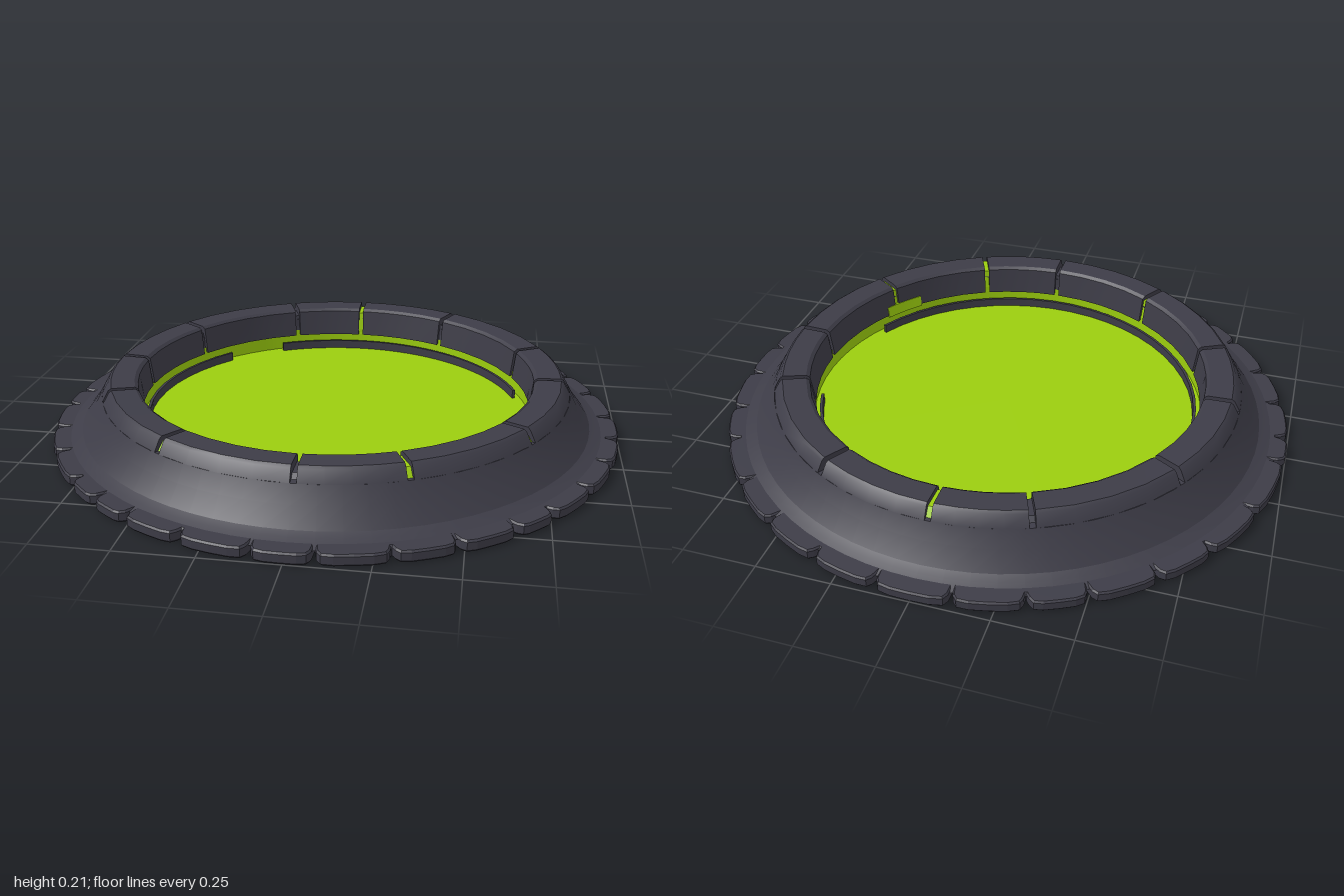
import * as THREE from 'three';
import { toCreasedNormals } from 'three/addons/utils/BufferGeometryUtils.js';

const RAD = Math.PI / 180;

// Sweeps a counter-clockwise (radius, height) profile around y between two angles in degrees
function sweep(profile, from, to, steps) {
  const pos = [];
  const n = profile.length;
  const closed = to - from >= 360;
  const point = (i, j) => {
    const a = (from + (to - from) * i / steps) * RAD;
    const [r, y] = profile[j % n];
    return [r * Math.cos(a), y, r * Math.sin(a)];
  };
  for (let i = 0; i < steps; i++) {
    for (let j = 0; j < n; j++) {
      const a = point(i, j), b = point(i, j + 1), c = point(i + 1, j), d = point(i + 1, j + 1);
      pos.push(...a, ...b, ...c, ...b, ...d, ...c);
    }
  }
  if (!closed) {
    for (let j = 1; j < n - 1; j++) {
      pos.push(...point(0, 0), ...point(0, j + 1), ...point(0, j));
      pos.push(...point(steps, 0), ...point(steps, j), ...point(steps, j + 1));
    }
  }
  const geo = new THREE.BufferGeometry();
  geo.setAttribute('position', new THREE.Float32BufferAttribute(pos, 3));
  return toCreasedNormals(geo, 0.45);
}

export function createModel() {
  const group = new THREE.Group();
  const stone = new THREE.MeshStandardMaterial({ color: 0x3d3c47 });
  stone.name = 'dark stone';
  const slime = new THREE.MeshStandardMaterial({ color: 0x9bcd0e, side: THREE.DoubleSide });
  slime.name = 'lime green';
  const add = (name, geo, mat) => {
    const mesh = new THREE.Mesh(geo, mat);
    mesh.name = name;
    group.add(mesh);
    return mesh;
  };

  // Flat base plate with notches cut into its edge
  const notches = [-97, -83, -70, -57, -44, -30, -19, -6, 5, 16, 28, 40, 49, 60.5, 72, 85, 96,
    109, 121, 130, 139, 152, 164, 176, 184, 200, 214, 226, 239, 250];
  const outline = [];
  const put = (r, deg) => outline.push(new THREE.Vector2(r * Math.cos(deg * RAD), -r * Math.sin(deg * RAD)));
  notches.forEach((a, i) => {
    const next = i + 1 < notches.length ? notches[i + 1] : notches[0] + 360;
    const depth = 0.925 + 0.015 * (i % 3);
    put(depth, a - 0.3);
    put(depth, a + 0.3);
    put(0.975, a + 0.7);
    put(0.99, a + 1.3);
    for (let k = 1; k < 4; k++) put(0.995, a + (next - a) * k / 4);
    put(0.99, next - 1.3);
    put(0.975, next - 0.7);
  });
  const plate = new THREE.ExtrudeGeometry(new THREE.Shape(outline), {
    depth: 0.026, bevelEnabled: true, bevelThickness: 0.006, bevelSize: 0.005, bevelSegments: 1,
  });
  plate.translate(0, 0, 0.006).rotateX(-Math.PI / 2);
  add('basePlate', plate, stone);

  // Sloping skirt under the crown blocks
  add('skirt', sweep([[0.705, 0.03], [0.965, 0.03], [0.925, 0.043], [0.90, 0.055], [0.855, 0.112],
    [0.825, 0.165], [0.705, 0.165]], 0, 360, 72), stone);

  // Crown blocks separated by cracks, some cracks filled green
  const cracks = [-112, -90, -61, -24.5, 0, 33, 66, 90, 123, 156, 181, 212];
  const greenCracks = [-90, 33, 66, 123];
  const block = [[0.688, 0.10], [0.825, 0.165], [0.803, 0.203], [0.793, 0.21], [0.712, 0.207], [0.70, 0.198]];
  const greenFill = [[0.697, 0.10], [0.815, 0.16], [0.79, 0.193], [0.708, 0.19]];
  const darkFill = [[0.70, 0.10], [0.81, 0.155], [0.785, 0.18], [0.71, 0.18]];
  cracks.forEach((a, i) => {
    const next = i + 1 < cracks.length ? cracks[i + 1] : cracks[0] + 360;
    add('crownBlock', sweep(block, a + 0.7, next - 0.7, 4), stone);
    const green = greenCracks.includes(a);
    add('crackFill', sweep(green ? greenFill : darkFill, a - 0.9, a + 0.9, 1), green ? slime : stone);
  });

  // Green pool and the green lining of the inner wall
  const pool = add('pool', new THREE.CircleGeometry(0.702, 64).rotateX(-Math.PI / 2), slime);
  pool.position.y = 0.046;
  const lining = add('wallLining', new THREE.CylinderGeometry(0.698, 0.698, 0.075, 64, 1, true), slime);
  lining.position.y = 0.083;

  // Green splash on the inner wall
  add('splash', sweep([[0.681, 0.095], [0.69, 0.095], [0.698, 0.135], [0.689, 0.135]], 29, 42, 4), slime);

  // Thin broken curb around the pool
  const curb = [[0.667, 0.04], [0.677, 0.04], [0.677, 0.078], [0.667, 0.078]];
  [[26, 222], [242, 342]].forEach(([a, b]) => add('poolCurb', sweep(curb, a, b, 28), stone));

  return group;
}
